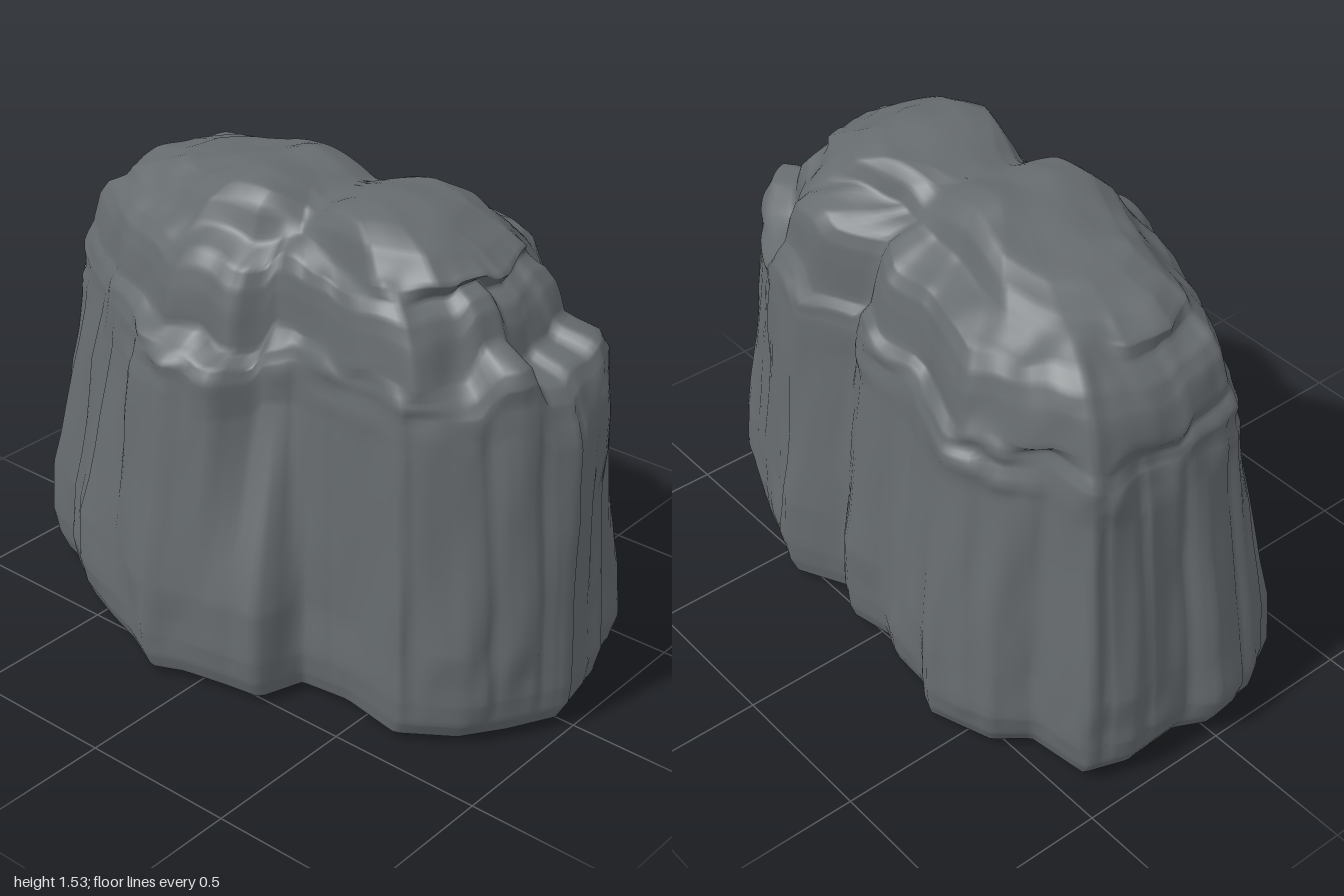
import * as THREE from 'three';

// Outlines [x, z] of the rock at rising heights
const BASE = [[-1, 0], [-.97, .18], [-.9, .3], [-.78, .34], [-.6, .46], [-.45, .52], [-.3, .57], [-.15, .645], [-.05, .6],
  [.1, .57], [.23, .55], [.28, .4], [.45, .38], [.67, .42], [.83, .31], [.92, .18], [1, .03], [.95, -.2], [.9, -.25],
  [.89, -.38], [.7, -.47], [.5, -.54], [.4, -.58], [.2, -.48], [.1, -.56], [-.05, -.53], [-.15, -.57], [-.3, -.58],
  [-.4, -.645], [-.62, -.57], [-.7, -.47], [-.91, -.44], [-.96, -.3], [-.95, -.1]];
const MID = [[-.87, 0], [-.85, .15], [-.75, .24], [-.55, .35], [-.4, .42], [-.3, .49], [-.15, .53], [.02, .5], [.11, .38],
  [.2, .34], [.4, .36], [.62, .38], [.75, .27], [.88, .15], [.95, 0], [.93, -.15], [.85, -.3], [.65, -.42], [.4, -.5],
  [.2, -.41], [.08, -.47], [-.15, -.47], [-.38, -.54], [-.58, -.49], [-.68, -.42], [-.84, -.38], [-.87, -.2]];
const UPPER = [[-.8, 0], [-.77, .12], [-.62, .23], [-.4, .33], [-.2, .41], [.02, .39], [.1, .29], [.2, .29], [.42, .34],
  [.6, .32], [.7, .18], [.74, 0], [.7, -.22], [.53, -.38], [.35, -.43], [.18, -.34], [.05, -.41], [-.15, -.4],
  [-.4, -.47], [-.6, -.42], [-.76, -.33], [-.8, -.15]];
const TOP = [[-.67, 0], [-.6, .11], [-.4, .19], [-.2, .27], [-.02, .25], [.1, .18], [.25, .22], [.42, .27], [.58, .2],
  [.65, .03], [.6, -.15], [.4, -.25], [.2, -.2], [-.1, -.23], [-.35, -.29], [-.55, -.25], [-.65, -.14]];

// Rows from the underside to the crown: [outline, scale, height, ledge shift]
const ROWS = [[BASE, 0, .005, 0], [BASE, .5, .005, 0], [BASE, .9, .012, 0], [BASE, .955, .03, 0], [BASE, .985, .08, 0],
  [BASE, 1, .16, 0], [BASE, .985, .34, .1], [MID, 1.01, .92, .7], [MID, .99, 1.05, 1], [MID, .955, 1.1, 1],
  [UPPER, 1.05, 1.14, 1], [UPPER, 1.01, 1.24, .8], [UPPER, .97, 1.3, .6], [UPPER, .9, 1.345, .4],
  [TOP, 1.09, 1.39, .15], [TOP, .95, 1.44, 0], [TOP, .75, 1.475, 0], [TOP, .4, 1.49, 0], [TOP, 0, 1.49, 0]];

const SEGMENTS = 240, STEPS = 5, COLUMNS = 25;
const hash = n => { const s = Math.sin(n * 127.1 + 11.7) * 43758.5453; return s - Math.floor(s); };
const smooth = t => t * t * (3 - 2 * t);
const bell = (v, centre, width) => Math.exp(-(((v - centre) / width) ** 2));

// Distance from the centre to an outline along a direction
function reach(outline, dx, dz) {
  let best = 0;
  outline.forEach(([ax, az], i) => {
    const [bx, bz] = outline[(i + 1) % outline.length];
    const ex = bx - ax, ez = bz - az, d = dx * ez - dz * ex;
    if (Math.abs(d) < 1e-9) return;
    const t = (ax * ez - az * ex) / d, u = (ax * dz - az * dx) / d;
    if (u >= -1e-6 && u <= 1 + 1e-6 && t > best) best = t;
  });
  return best;
}

// Smooth random lattice noise
function noise(x, y, z) {
  const f = [x, y, z].map(Math.floor), w = [smooth(x - f[0]), smooth(y - f[1]), smooth(z - f[2])];
  let sum = 0;
  for (let c = 0; c < 8; c++) {
    const b = [c & 1, (c >> 1) & 1, c >> 2];
    const weight = b.reduce((p, v, k) => p * (v ? w[k] : 1 - w[k]), 1);
    sum += weight * hash((f[0] + b[0]) * 1.37 + (f[1] + b[1]) * 7.91 + (f[2] + b[2]) * 23.17);
  }
  return sum * 2 - 1;
}

function rockGeometry() {
  const rows = (ROWS.length - 1) * STEPS + 1;
  const positions = new Float32Array(rows * SEGMENTS * 3), index = [];
  for (let i = 0; i < SEGMENTS; i++) {
    const a = i / SEGMENTS * Math.PI * 2, dx = Math.cos(a), dz = Math.sin(a) * .6;
    const reaches = new Map([BASE, MID, UPPER, TOP].map(o => [o, reach(o, dx, dz)]));
    // Each vertical column has its own ledge height, with a cleft between neighbours
    const c = i / SEGMENTS * COLUMNS + .25 * Math.sin(a * 5), k = Math.floor(c), f = c - k;
    const ledge = n => (hash((n + COLUMNS) % COLUMNS + 3) - .5) * .09;
    // Ledges sit low on the front buttress and high on the left flank
    const shift = THREE.MathUtils.lerp(ledge(k), ledge(k + 1), smooth(THREE.MathUtils.clamp((f - .6) / .4, 0, 1)))
      + .05 * Math.max(Math.cos(a), 0) ** 4 - .05 * bell(a, 1.8, .6);
    const cleft = .015 * bell(f, .86, .1);
    for (let j = 0; j < rows; j++) {
      const r = Math.min(Math.floor(j / STEPS), ROWS.length - 2), t = j / STEPS - r;
      const p = ROWS[r], q = ROWS[r + 1];
      let radius = THREE.MathUtils.lerp(reaches.get(p[0]) * p[1], reaches.get(q[0]) * q[1], t);
      let y = THREE.MathUtils.lerp(p[2], q[2], t) + shift * THREE.MathUtils.lerp(p[3], q[3], t);
      const crown = THREE.MathUtils.smoothstep(y, 1.38, 1.47);
      const side = THREE.MathUtils.smoothstep(y, .02, .2) * (1 - crown);
      // Weathered relief along the vertical grain, breaking into lumps near the top
      const x0 = dx * radius, z0 = dz * radius;
      const lumps = THREE.MathUtils.smoothstep(y, .9, 1.15);
      radius *= 1 - cleft * side * (1 - lumps) + side * ((.012 + .018 * lumps) * noise(x0 * 6, y * (2 + 3 * lumps), z0 * 6)
        + .014 * noise(x0 * 13, y * 6, z0 * 13));
      const x = dx * radius, z = dz * radius;
      // Two rounded crowns with a saddle between
      y += crown * (.04 * bell(x, -.1, .13) + .04 * bell(x, .38, .19) - .025 * bell(x, .11, .06)
        - .012 * THREE.MathUtils.smoothstep(-x, .2, .4) + .01 * noise(x * 9, 1, z * 9));
      y += lumps * (1 - crown) * .025 * noise(x * 8, 4, z * 8);
      positions.set([x, y, z], (j * SEGMENTS + i) * 3);
      if (j === rows - 1) continue;
      const n = (i + 1) % SEGMENTS, A = j * SEGMENTS + i, B = j * SEGMENTS + n;
      index.push(A, A + SEGMENTS, B, B, A + SEGMENTS, B + SEGMENTS);
    }
  }
  const geometry = new THREE.BufferGeometry();
  geometry.setAttribute('position', new THREE.BufferAttribute(positions, 3));
  geometry.setIndex(index);
  geometry.computeVertexNormals();
  return geometry;
}

export function createModel() {
  const group = new THREE.Group();
  group.name = 'boulder';
  const stone = new THREE.MeshStandardMaterial({ color: 0x666b6e });
  stone.name = 'slate grey stone';
  const rock = new THREE.Mesh(rockGeometry(), stone);
  rock.name = 'rock';
  group.add(rock);
  return group;
}
